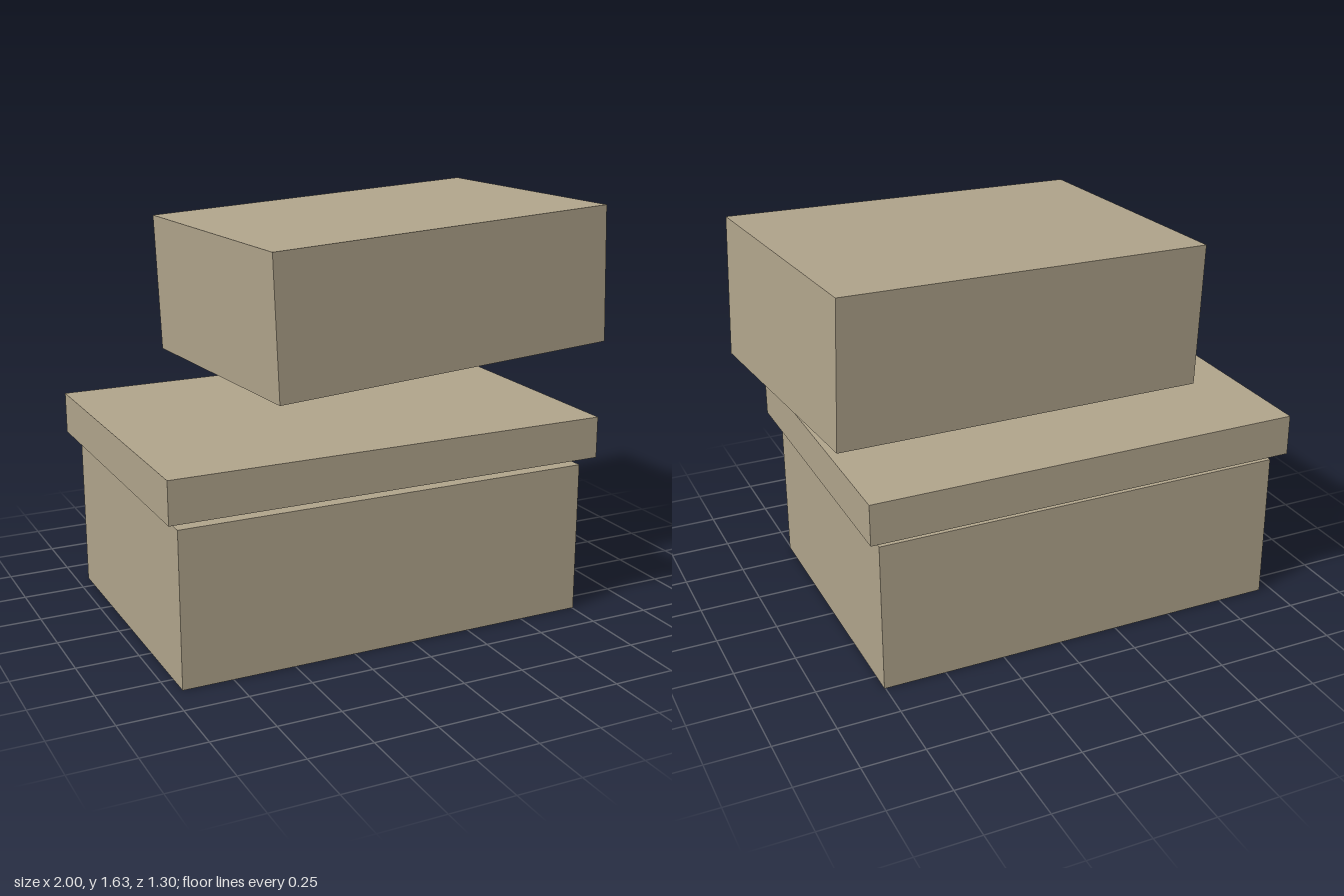
import * as THREE from 'three';

export function createModel() {
  const model = new THREE.Group();
  const cardboard = new THREE.MeshStandardMaterial({ color: 0xb0a48b });
  cardboard.name = 'cardboard';

  // Box given by its size and centre
  function addBox(name, size, centre) {
    const mesh = new THREE.Mesh(new THREE.BoxGeometry(...size), cardboard);
    mesh.name = name;
    mesh.position.set(...centre);
    model.add(mesh);
    return mesh;
  }

  // Lower box standing on the ground, with a wider lid hovering just above it
  addBox('lowerBox', [1.705, 0.62, 1.19], [-0.098, 0.31, 0.005]);
  addBox('lid', [1.8, 0.168, 1.28], [-0.098, 0.741, 0.005]);

  // Upper box, turned a little and tipped up at one end
  const upper = addBox('upperBox', [1.521, 0.566, 1.048], [0.19, 1.313, -0.067]);
  upper.rotation.set(0, 0.08, 0.04, 'YXZ');

  return model;
}
